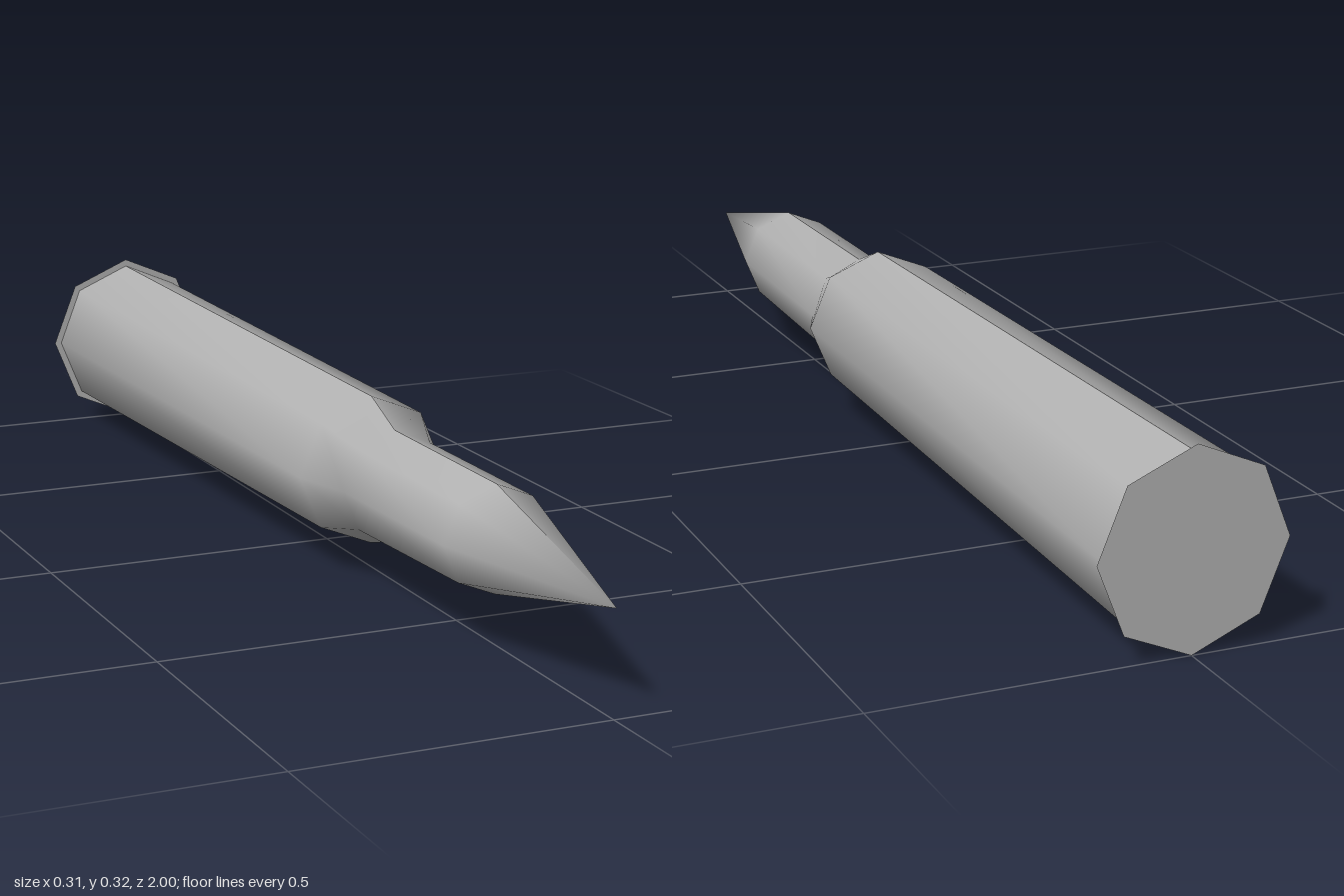
import * as THREE from 'three';

const SIDES = 8;

// Cross-sections from back to front: z, bottom y, top y, half width
const SECTIONS = [
  [-1, 0.013, 0.305, 0.14],
  [0.18, 0.041, 0.292, 0.128],
  [0.27, 0.067, 0.255, 0.09],
  [0.63, 0.08, 0.254, 0.088],
];
const TIP = [0, 0.165, 1];

// Octagonal shell in two smooth halves, creased along the top and bottom seams
function shellGeometry() {
  const positions = [];
  const index = [];
  const half = SIDES / 2;
  const perRing = SIDES + 2;
  for (const [z, bottom, top, halfWidth] of SECTIONS) {
    for (let k = 0; k < perRing; k++) {
      const a = ((k <= half ? k : k - 1) / SIDES) * Math.PI * 2;
      const y = (top + bottom) / 2 + Math.cos(a) * (top - bottom) / 2;
      positions.push(Math.sin(a) * halfWidth, y, z);
    }
  }
  const tip = positions.length / 3;
  positions.push(...TIP);

  for (let j = 0; j < SECTIONS.length; j++) {
    for (let k = 0; k < perRing - 1; k++) {
      if (k === half) continue; // seam between the halves
      const a = j * perRing + k;
      const b = a + perRing;
      if (j === SECTIONS.length - 1) index.push(a, tip, a + 1);
      else index.push(a, b, a + 1, a + 1, b, b + 1);
    }
  }
  const geometry = new THREE.BufferGeometry();
  geometry.setAttribute('position', new THREE.Float32BufferAttribute(positions, 3));
  geometry.setIndex(index);
  geometry.computeVertexNormals();
  return geometry;
}

export function createModel() {
  const group = new THREE.Group();
  group.name = 'cartridge';

  const metal = new THREE.MeshStandardMaterial({ color: 0xb0b0b0, side: THREE.DoubleSide });
  metal.name = 'grey metal';

  // Case, shoulder, neck and pointed nose
  const shell = new THREE.Mesh(shellGeometry(), metal);
  shell.name = 'caseAndNose';
  group.add(shell);

  // Flat base plate, slightly wider than the case
  const base = new THREE.Mesh(new THREE.CircleGeometry(1, SIDES), metal);
  base.name = 'basePlate';
  base.scale.set(0.153, 0.159, 1);
  base.rotation.y = Math.PI;
  base.position.set(0, 0.159, -1);
  group.add(base);

  return group;
}
